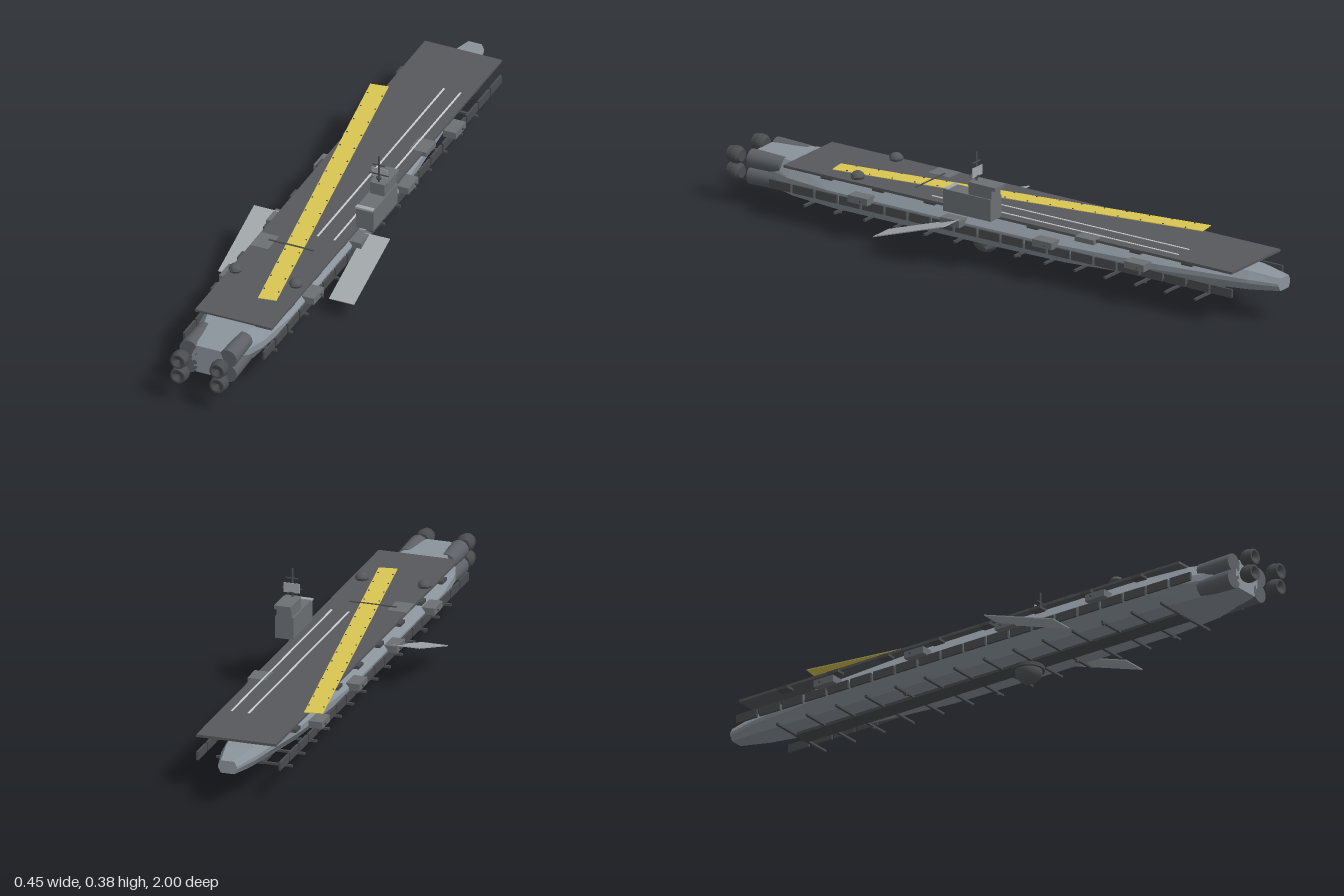
import * as THREE from 'three';

const mat = (color, flat = true) => new THREE.MeshStandardMaterial({ color, flatShading: flat, side: THREE.DoubleSide });
const HULL = mat(0x8b949c), DECK = mat(0x58595c), DARK = mat(0x4a4c4f), GREY = mat(0x6c7074);
const PANEL = mat(0xa3a8ac), YELLOW = mat(0xd9c653), WHITE = mat(0xdddddd);
const DOME = mat(0x56585b, false), ENGINE = mat(0x5d6166, false);

export function createModel() {
  const model = new THREE.Group();

  const add = (name, geo, material, x, y, z, parent = model) => {
    const m = new THREE.Mesh(geo, material);
    m.name = name;
    m.position.set(x, y, z);
    parent.add(m);
    return m;
  };
  // Box given by its min and max along each axis
  const box = (name, material, x0, x1, y0, y1, z0, z1) =>
    add(name, new THREE.BoxGeometry(x1 - x0, y1 - y0, z1 - z0), material, (x0 + x1) / 2, (y0 + y1) / 2, (z0 + z1) / 2);

  // Hull: eight-sided sections lofted from nose to stern [z, half width, bottom, top]
  const sections = [
    [-1, 0.03, 0.107, 0.147], [-0.9, 0.055, 0.097, 0.157], [-0.6, 0.098, 0.078, 0.168],
    [-0.25, 0.125, 0.064, 0.174], [0.1, 0.128, 0.062, 0.175], [0.6, 0.128, 0.062, 0.175],
    [0.76, 0.108, 0.064, 0.174], [0.92, 0.055, 0.075, 0.168],
  ];
  const rings = sections.map(([z, w, b, t]) => {
    const c = (b + t) / 2, s = (t - b) * 0.1;
    return [[w * 0.72, b], [w, c - s], [w, c + s], [w * 0.72, t], [-w * 0.72, t], [-w, c + s], [-w, c - s], [-w * 0.72, b]]
      .map(([x, y]) => [x, y, z]);
  });
  const pos = [];
  const tri = (...p) => p.forEach((v) => pos.push(...v));
  for (let i = 0; i < rings.length - 1; i++) {
    for (let j = 0; j < 8; j++) {
      const k = (j + 1) % 8;
      tri(rings[i][j], rings[i][k], rings[i + 1][k]);
      tri(rings[i][j], rings[i + 1][k], rings[i + 1][j]);
    }
  }
  const nose = rings[0], stern = rings[rings.length - 1];
  for (let j = 1; j < 7; j++) {
    tri(stern[0], stern[j], stern[j + 1]);
    tri(nose[0], nose[j + 1], nose[j]);
  }
  const hullGeo = new THREE.BufferGeometry();
  hullGeo.setAttribute('position', new THREE.Float32BufferAttribute(pos, 3));
  hullGeo.computeVertexNormals();
  add('hull', hullGeo, HULL, 0, 0, 0);

  // Flight deck with angled runway, stripes, elevators and arrestor wire
  box('flightDeck', DECK, -0.12, 0.135, 0.172, 0.18, -0.9, 0.755);
  const runway = add('angledRunway', new THREE.BoxGeometry(0.058, 0.002, 1.245), YELLOW, -0.042, 0.181, 0);
  runway.rotation.y = 0.157;
  for (const x of [0.045, 0.1]) box('deckStripe', WHITE, x - 0.003, x + 0.003, 0.179, 0.1815, -0.68, 0.23);
  box('rightElevator', GREY, 0.09, 0.148, 0.166, 0.181, -0.4, -0.33);
  box('leftElevator', GREY, -0.12, -0.06, 0.176, 0.181, 0.28, 0.36);
  box('arrestorWire', DARK, -0.08, 0.07, 0.181, 0.184, 0.308, 0.313);

  // Small lights along both edges of the runway
  for (let i = 0; i < 16; i++) {
    const t = -0.56 + i * 0.075;
    for (const s of [-1, 1]) {
      const x = -0.042 + Math.sin(0.157) * t + s * 0.024;
      box('runwayLight', DARK, x - 0.002, x + 0.002, 0.181, 0.184, t - 0.002, t + 0.002);
    }
  }

  // Parts mirrored on both sides
  const dome = new THREE.SphereGeometry(0.021, 20, 8, 0, Math.PI * 2, 0, Math.PI / 2);
  dome.scale(1, 0.85, 1);
  for (const s of [-1, 1]) {
    const side = (name, material, x0, x1, y0, y1, z0, z1) =>
      box(name, material, Math.min(s * x0, s * x1), Math.max(s * x0, s * x1), y0, y1, z0, z1);

    // Row of armour panels
    for (let i = 0; i < 20; i++) {
      const z = -0.9 + i * 0.0858;
      side('sidePanel', DARK, 0.128, 0.135, 0.097, 0.124, z, z + 0.077);
    }
    // Gun sponsons
    for (const z of [0.465, 0.125, -0.215, -0.555]) {
      side('sponson', GREY, 0.115, 0.158, 0.122, 0.144, z - 0.036, z + 0.036);
      side('sponsonGun', DARK, 0.15, 0.163, 0.13, 0.135, z - 0.015, z - 0.01);
    }
    // Catwalk brackets below the deck edge
    for (let i = 0; i < 8; i++) {
      const z = -0.75 + i * 0.19;
      side('deckBracket', DARK, 0.1, 0.131, 0.164, 0.174, z, z + 0.04);
    }
    // Sloping fins
    const fin = add('fin', new THREE.BoxGeometry(0.083, 0.003, 0.273), PANEL, s * 0.184, 0.101, 0.23);
    fin.rotation.x = 0.316;
    side('finMount', GREY, 0.11, 0.145, 0.125, 0.14, 0.1, 0.14);

    // Deck radar domes
    add('deckDomeBase', new THREE.CylinderGeometry(0.023, 0.019, 0.008, 20), DOME, s * 0.1, 0.184, 0.505);
    add('deckDome', dome, DOME, s * 0.1, 0.186, 0.505);

    // Engines and their separate nozzles
    for (const y of [0.096, 0.148]) {
      const engine = add('engine', new THREE.CylinderGeometry(0.03, 0.027, 0.12, 20), ENGINE, s * 0.065, y, 0.86);
      engine.rotation.x = Math.PI / 2;
      const profile = [[0, -0.022], [0.019, -0.022], [0.026, -0.012], [0.028, 0], [0.024, 0.022], [0.018, 0.022], [0, 0.008]]
        .map(([r, h]) => new THREE.Vector2(r, h));
      const nozzle = add('nozzle', new THREE.LatheGeometry(profile, 20), DARK, s * 0.065, y, 0.978);
      nozzle.rotation.x = Math.PI / 2;
    }
  }

  // Keel plate and cross ribs
  box('keelPlate', DARK, -0.03, 0.03, 0.054, 0.064, -0.76, 0.69);
  for (let i = 0; i < 14; i++) {
    const z = -0.755 + i * 0.111;
    box('keelRib', DARK, -0.122, 0.122, 0.055, 0.062, z - 0.004, z + 0.004);
  }
  for (const [x, z] of [[-0.115, 0.466], [-0.07, -0.311], [0.05, 0.244], [0.066, -0.533], [0.09, 0.577], [0.097, -0.089]])
    box('ribLamp', DARK, x - 0.004, x + 0.004, 0.05, 0.056, z - 0.004, z + 0.004);

  // Ventral sensor dome
  add('bellyDomeCollar', new THREE.CylinderGeometry(0.049, 0.049, 0.012, 28), DARK, 0, 0.047, 0.1);
  const belly = new THREE.SphereGeometry(0.042, 28, 12, 0, Math.PI * 2, Math.PI / 2, Math.PI / 2);
  add('bellyDome', belly, DOME, 0, 0.042, 0.1);

  // Command tower and mast
  box('towerBase', GREY, 0.126, 0.184, 0.178, 0.248, -0.045, 0.13);
  box('towerStep', PANEL, 0.124, 0.182, 0.244, 0.25, 0.115, 0.131);
  box('towerTop', GREY, 0.131, 0.18, 0.248, 0.288, -0.045, 0.04);
  box('bridgeWing', GREY, 0.129, 0.182, 0.276, 0.288, -0.06, 0.03);
  add('mast', new THREE.CylinderGeometry(0.003, 0.003, 0.092, 10), DARK, 0.155, 0.333, 0.028);
  add('mastCollar', new THREE.CylinderGeometry(0.009, 0.006, 0.008, 12), DARK, 0.155, 0.301, 0.028);
  box('lowerYard', DARK, 0.123, 0.188, 0.313, 0.316, 0.026, 0.03);
  box('upperYard', DARK, 0.135, 0.176, 0.346, 0.349, 0.026, 0.03);
  box('radarPanel', PANEL, 0.13, 0.181, 0.302, 0.333, 0.023, 0.025);

  return model;
}
